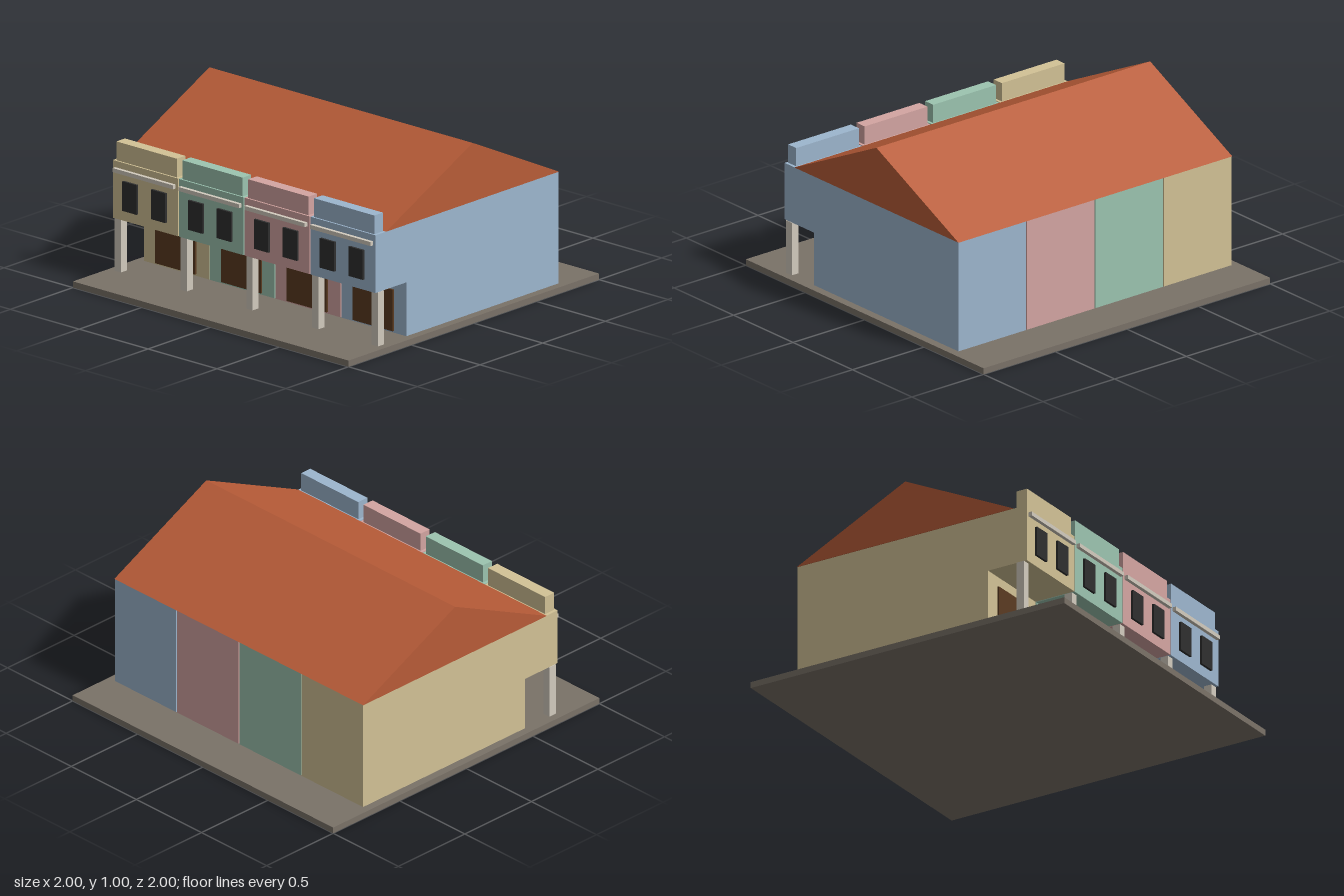
import * as THREE from 'three';

const material = (name, color) => {
  const m = new THREE.MeshStandardMaterial({ color });
  m.name = name;
  return m;
};

function addBox(parent, name, mat, [w, h, d], [x, y, z]) {
  const mesh = new THREE.Mesh(new THREE.BoxGeometry(w, h, d), mat);
  mesh.name = name;
  mesh.position.set(x, y, z);
  parent.add(mesh);
  return mesh;
}

// Extrudes a [z, y] side profile along x, centred on x = 0
function addProfile(parent, name, mat, points, width) {
  const shape = new THREE.Shape(points.map(([z, y]) => new THREE.Vector2(-z, y)));
  const geo = new THREE.ExtrudeGeometry(shape, { depth: width, bevelEnabled: false });
  geo.translate(0, 0, -width / 2);
  geo.rotateY(Math.PI / 2);
  const mesh = new THREE.Mesh(geo, mat);
  mesh.name = name;
  parent.add(mesh);
  return mesh;
}

export function createModel() {
  const model = new THREE.Group();
  model.name = 'shophouseRow';

  const paving = material('paving grey', 0x7a7268);
  const tile = material('roof terracotta', 0xb85c38);
  const trim = material('stone trim', 0xd2cbbe);
  const glass = material('dark glass', 0x2e2e2e);
  const wood = material('door brown', 0x5a3a20);
  const walls = [
    material('cream wall', 0xd2c296),
    material('mint wall', 0x9cc4b0),
    material('rose wall', 0xd4a5a2),
    material('blue wall', 0x9db6ce),
  ];

  const ground = 0.035, ceiling = 0.34, eaves = 0.667;
  const front = 0.732, back = -0.73, shopFront = 0.485;
  const pitch = 0.478, unitWidth = 0.471, left = -0.957;

  addBox(model, 'pavement', paving, [2, ground, 2], [0, ground / 2, 0]);

  // Four shophouses side by side, upper floor overhanging the walkway
  walls.forEach((wall, i) => {
    const house = new THREE.Group();
    house.name = `house${i + 1}`;
    house.position.x = left + pitch * (i + 0.5);
    model.add(house);

    addProfile(house, 'walls', wall, [
      [back, 0.02], [back, eaves], [front, eaves],
      [front, ceiling], [shopFront, ceiling], [shopFront, 0.02],
    ], unitWidth);
    addBox(house, 'parapet', wall, [0.438, 0.108, 0.068], [0, eaves + 0.052, 0.688]);
    addBox(house, 'cornice', trim, [0.438, 0.023, 0.03], [0, 0.6185, 0.738]);
    addBox(house, 'shopDoor', wood, [0.29, 0.235, 0.02], [0, 0.1625, 0.486]);
    for (const side of [-1, 1]) {
      addBox(house, 'window', glass, [0.104, 0.167, 0.02], [side * 0.104, 0.4835, 0.736]);
    }
  });

  // Walkway posts at each party wall, with one closing the right end
  const postXs = [0, 1, 2, 3].map((i) => left + pitch * i + 0.023);
  postXs.push(0.932);
  for (const x of postXs) {
    addBox(model, 'post', trim, [0.046, ceiling - 0.02, 0.048], [x, (ceiling + 0.02) / 2, 0.691]);
  }

  // Shared gable roof
  const roof = addProfile(model, 'roof', tile, [[back - 0.003, eaves], [-0.042, 1], [0.648, eaves]], 1.91);
  roof.position.x = -0.002;

  return model;
}
